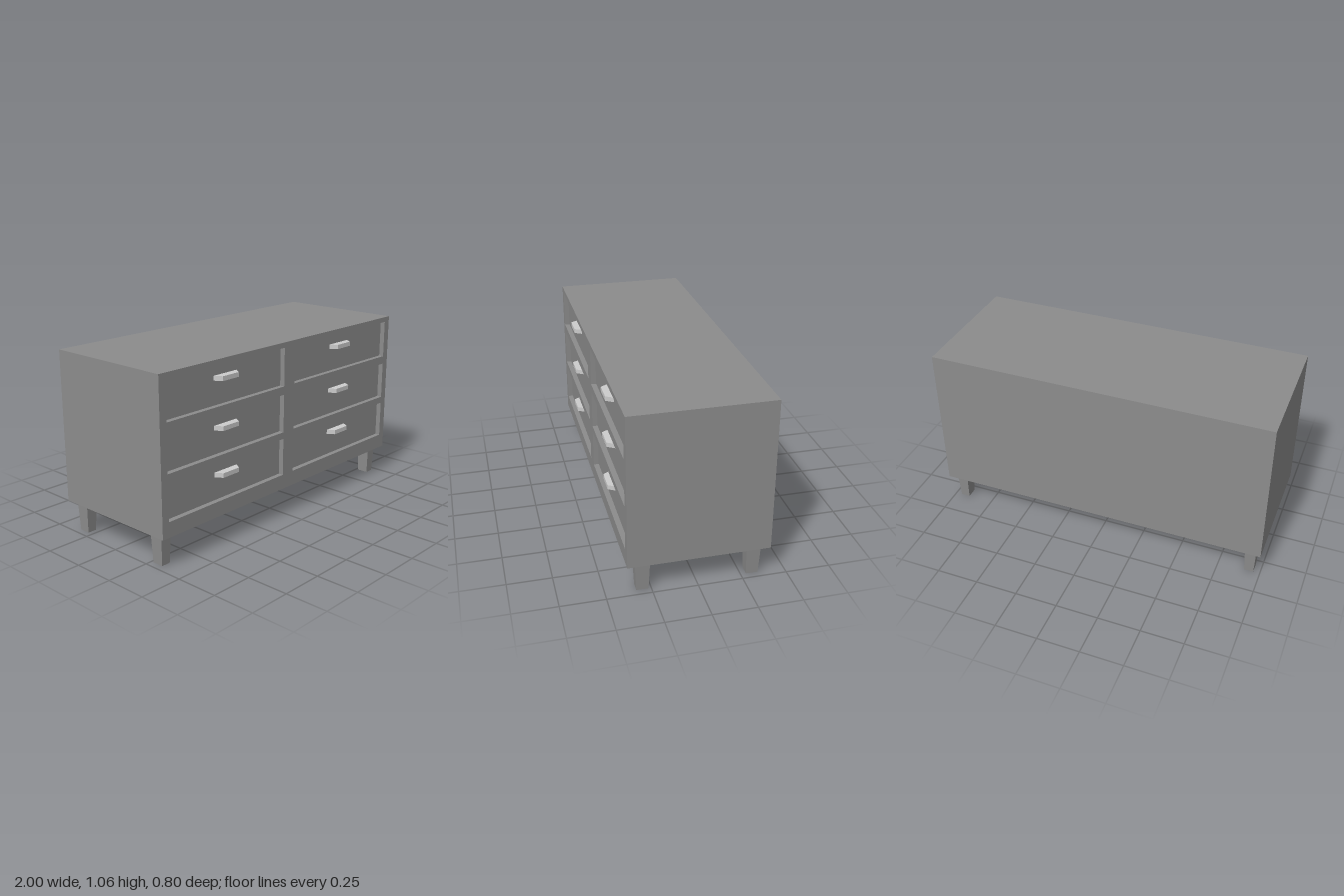
import * as THREE from 'three';

export function createModel() {
  const group = new THREE.Group();
  group.name = 'dresser';

  const wood = new THREE.MeshStandardMaterial({ color: 0x8c8c8c });
  wood.name = 'grey wood';
  const metal = new THREE.MeshStandardMaterial({ color: 0xcccccc });
  metal.name = 'light metal';

  const add = (name, geometry, material, x, y, z) => {
    const mesh = new THREE.Mesh(geometry, material);
    mesh.name = name;
    mesh.position.set(x, y, z);
    group.add(mesh);
    return mesh;
  };

  const bottom = 0.177, top = 1.055, back = -0.4, front = 0.387;
  const frameBack = 0.352, drawerFace = 0.357;
  const drawerX = 0.5, drawerW = 0.91;
  const rows = [
    { y0: 0.8, y1: 1.024, handle: 0.949 },
    { y0: 0.527, y1: 0.751, handle: 0.676 },
    { y0: 0.265, y1: 0.487, handle: 0.411 },
  ];

  // Carcass
  add('carcass', new THREE.BoxGeometry(2, top - bottom, frameBack - back), wood,
    0, (top + bottom) / 2, (frameBack + back) / 2);

  // Rectangle outline, used for the frame and its openings
  const rect = (target, x0, y0, x1, y1) => {
    target.moveTo(x0, y0);
    target.lineTo(x1, y0);
    target.lineTo(x1, y1);
    target.lineTo(x0, y1);
    target.closePath();
    return target;
  };

  // Front frame with six openings
  const frame = rect(new THREE.Shape(), -1, bottom, 1, top);
  for (const s of [-1, 1]) {
    for (const r of rows) {
      frame.holes.push(rect(new THREE.Path(),
        s * drawerX - drawerW / 2, r.y0, s * drawerX + drawerW / 2, r.y1));
    }
  }
  add('frontFrame', new THREE.ExtrudeGeometry(frame, { depth: front - frameBack, bevelEnabled: false }),
    wood, 0, 0, frameBack);

  // Bar handle with slanted ends
  const handleH = 0.026, handleDepth = 0.4 - drawerFace;
  const profile = new THREE.Shape([
    new THREE.Vector2(-0.088, 0), new THREE.Vector2(0.088, 0),
    new THREE.Vector2(0.061, handleDepth), new THREE.Vector2(-0.061, handleDepth),
  ]);
  const handle = new THREE.ExtrudeGeometry(profile, { depth: handleH, bevelEnabled: false });
  handle.rotateX(Math.PI / 2).translate(0, handleH / 2, 0);

  // Recessed drawer fronts and their handles
  for (const s of [-1, 1]) {
    for (const r of rows) {
      add('drawerFront', new THREE.BoxGeometry(drawerW, r.y1 - r.y0, drawerFace - frameBack), wood,
        s * drawerX, (r.y0 + r.y1) / 2, (drawerFace + frameBack) / 2);
      add('handle', handle, metal, s * drawerX, r.handle, drawerFace);
    }
  }

  // Tapered square legs
  const leg = new THREE.BoxGeometry(0.068, bottom, 0.083);
  const p = leg.attributes.position;
  for (let i = 0; i < p.count; i++) {
    if (p.getY(i) < 0) {
      p.setX(i, p.getX(i) * 0.8);
      p.setZ(i, p.getZ(i) * 0.8);
    }
  }
  leg.computeVertexNormals();
  for (const x of [-0.934, 0.934]) {
    add('frontLeg', leg, wood, x, bottom / 2, 0.299);
    add('backLeg', leg, wood, x, bottom / 2, -0.315);
  }

  return group;
}
